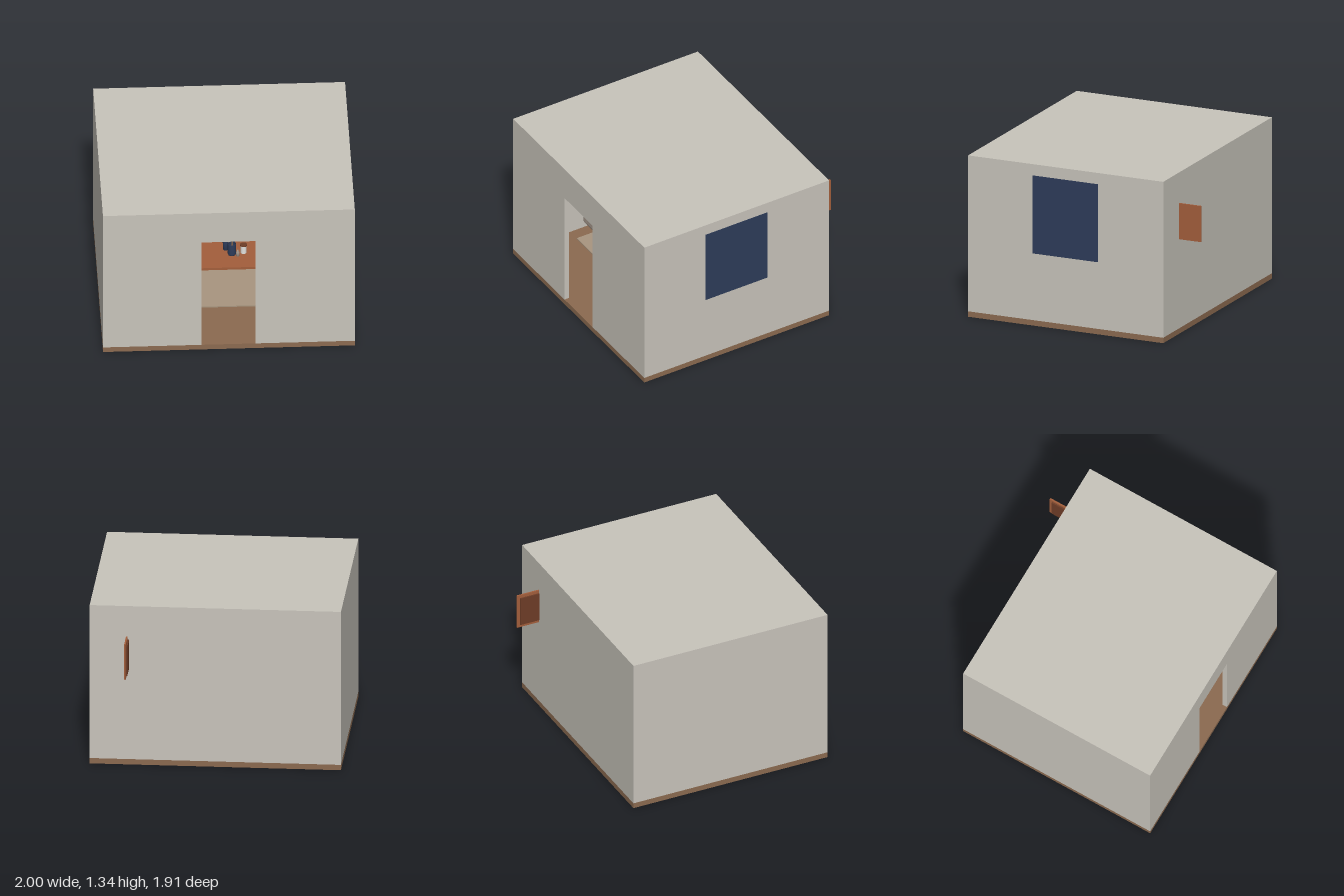
import * as THREE from 'three';
import { RoundedBoxGeometry } from 'three/addons/geometries/RoundedBoxGeometry.js';

const mat = (name, color) => {
  const m = new THREE.MeshStandardMaterial({ color });
  m.name = name;
  return m;
};

export function createModel() {
  const plaster = mat('plaster', 0xc8c4bb);
  const wood = mat('floor wood', 0x8b6a50);
  const orange = mat('orange wood', 0xa35e3b);
  const darkBrown = mat('dark brown', 0x6e3d27);
  const navy = mat('navy', 0x2e3c5a);
  const fabric = mat('upholstery', 0xa4968a);
  const rugMat = mat('rug wool', 0xa8957f);
  const white = mat('white cotton', 0xe4e2de);

  const room = new THREE.Group();
  room.name = 'room';

  const add = (parent, name, geometry, material, x = 0, y = 0, z = 0) => {
    const mesh = new THREE.Mesh(geometry, material);
    mesh.name = name;
    mesh.position.set(x, y, z);
    parent.add(mesh);
    return mesh;
  };
  // Box given by its lower and upper limits on each axis
  const block = (parent, name, material, [x0, x1], [y0, y1], [z0, z1], radius = 0) => {
    const size = [x1 - x0, y1 - y0, z1 - z0];
    const geo = radius ? new RoundedBoxGeometry(...size, 4, radius) : new THREE.BoxGeometry(...size);
    return add(parent, name, geo, material, (x0 + x1) / 2, (y0 + y1) / 2, (z0 + z1) / 2);
  };
  const group = (name) => {
    const g = new THREE.Group();
    g.name = name;
    room.add(g);
    return g;
  };

  // Shell: floor slab, three plain walls, ceiling
  const F = 0.045, H = 1.335, T = 0.04, BACK = -0.762, FRONT = 0.954;
  block(room, 'floor', wood, [-1, 1], [0, F], [BACK, FRONT]);
  block(room, 'ceiling', plaster, [-1, 1], [H - T, H], [BACK, FRONT]);
  block(room, 'backWall', plaster, [-1, 1], [F, H - T], [BACK, BACK + T]);
  for (const s of [-1, 1]) {
    const xs = s < 0 ? [-1, -1 + T] : [1 - T, 1];
    block(room, s < 0 ? 'rightWall' : 'leftWall', plaster, xs, [F, H - T], [BACK + T, FRONT - T]);
  }

  // Front wall, notched for the doorway
  const wall = new THREE.Shape([
    [-1, F], [-0.217, F], [-0.217, 1.05], [0.213, 1.05], [0.213, F], [1, F], [1, H - T], [-1, H - T],
  ].map(([x, y]) => new THREE.Vector2(x, y)));
  add(room, 'frontWall', new THREE.ExtrudeGeometry(wall, { depth: T, bevelEnabled: false }), plaster, 0, 0, FRONT - T);

  // Window panel, visible on both faces of the left wall
  block(room, 'windowPanel', navy, [0.955, 1.002], [0.597, 1.242], [-0.19, 0.387]);

  // Framed panel that runs through the back wall
  const panel = group('wallPanel');
  block(panel, 'panelFrame', orange, [0.697, 0.71], [0.783, 1.08], [-0.955, -0.569]);
  block(panel, 'panelInset', darkBrown, [0.686, 0.697], [0.808, 1.055], [-0.932, -0.592]);

  // Rug
  block(room, 'rug', rugMat, [-0.85, 0.7], [F, 0.055], [-0.5, 0.455]);

  // Couch with rounded seat and a rolled bolster
  const couch = group('couch');
  block(couch, 'seat', fabric, [-0.92, -0.44], [0.1, 0.42], [-0.5, 0.34], 0.035);
  block(couch, 'backrest', fabric, [-0.955, -0.87], [0.1, 0.5], [-0.5, 0.34], 0.03);
  for (const x of [-0.86, -0.5]) for (const z of [-0.44, 0.28]) {
    add(couch, 'couchFoot', new THREE.CylinderGeometry(0.02, 0.015, 0.055, 16), darkBrown, x, 0.0775, z);
  }
  const bolster = add(couch, 'bolster', new THREE.CapsuleGeometry(0.035, 0.15, 6, 20), white, -0.66, 0.453, 0.16);
  bolster.rotation.x = Math.PI / 2;

  // Low table
  const table = group('table');
  block(table, 'tableTop', orange, [-0.22, 0.42], [0.166, 0.187], [-0.3, 0.12]);
  for (const x of [-0.193, 0.393]) for (const z of [-0.27, 0.09]) {
    block(table, 'tableLeg', wood, [x - 0.011, x + 0.011], [0.055, 0.166], [z - 0.011, z + 0.011]);
  }

  // Vessels on the table
  const ware = group('tableware');
  const Y = 0.187;
  const lathe = (pts) => new THREE.LatheGeometry(pts.map(([r, y]) => new THREE.Vector2(r, y)), 28);
  add(ware, 'jug', lathe([[0, 0], [0.02, 0], [0.022, 0.07], [0.016, 0.09], [0.02, 0.114],
    [0.017, 0.114], [0.013, 0.09], [0.018, 0.07], [0.016, 0.005], [0, 0.005]]), navy, 0.022, Y, -0.13);
  add(ware, 'pot', lathe([[0, 0], [0.029, 0], [0.033, 0.01], [0.033, 0.1], [0.03, 0.108],
    [0.027, 0.1], [0.027, 0.008], [0, 0.008]]), navy, 0.069, Y, -0.06);
  // Brushes leaning in the pot
  [[-0.12, 0.06, 0.2], [0.08, -0.04, 0.21]].forEach(([tz, tx, len], i) => {
    const brush = new THREE.Group();
    brush.name = 'brush';
    brush.position.set(0.063 + i * 0.012, Y + 0.01, -0.06);
    brush.rotation.set(tx, 0, i ? 0 : tz * 0.4);
    add(brush, 'brushHandle', new THREE.CylinderGeometry(0.003, 0.003, len, 10), wood, 0, len / 2, 0);
    add(brush, 'brushTip', new THREE.SphereGeometry(0.005, 12, 8), darkBrown, 0, len, 0).scale.y = 1.6;
    ware.add(brush);
  });
  add(ware, 'smallBottle', lathe([[0, 0], [0.014, 0], [0.014, 0.035], [0.006, 0.043], [0.006, 0.055], [0, 0.055]]),
    fabric, 0.115, Y, -0.04);
  add(ware, 'jar', new THREE.CylinderGeometry(0.023, 0.023, 0.07, 28), white, 0.163, Y + 0.035, -0.08);
  add(ware, 'jarLid', new THREE.CylinderGeometry(0.028, 0.028, 0.008, 28), darkBrown, 0.163, Y + 0.074, -0.08);

  return room;
}
